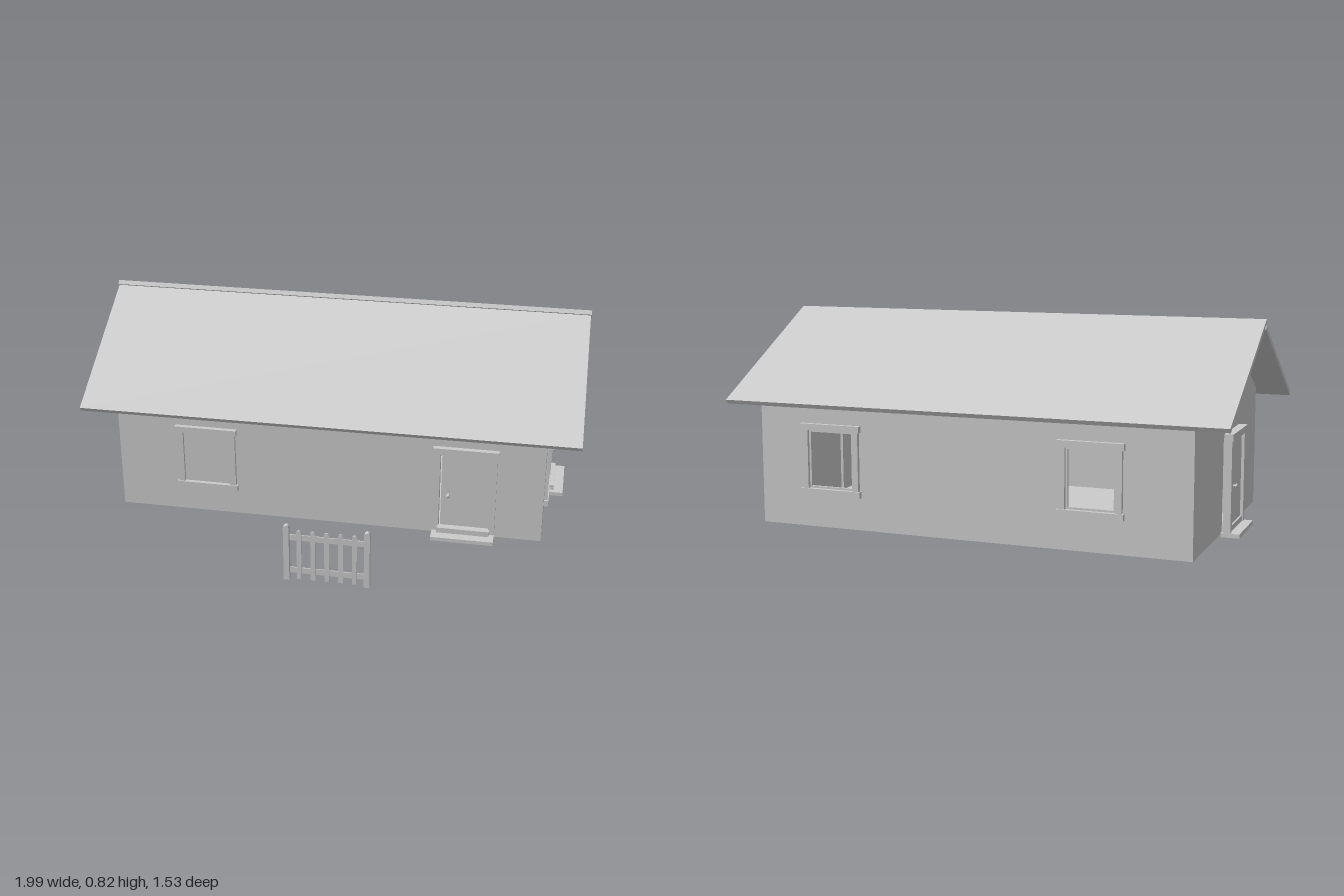
import * as THREE from 'three';

const mat = new THREE.MeshStandardMaterial({ color: 0xcccccc, flatShading: true, side: THREE.DoubleSide });
const X = 0.865, Z0 = -0.72, Z1 = 0.315, BASE = 0.01, EAVE = 0.497, PEAK = 0.782, PEAK_Z = -0.18;
const WALL = 0.014;

function add(parent, name, geometry, x = 0, y = 0, z = 0) {
  const mesh = new THREE.Mesh(geometry, mat);
  mesh.name = name;
  mesh.position.set(x, y, z);
  parent.add(mesh);
  return mesh;
}

// Box given by its limits
function slab(parent, name, x0, x1, y0, y1, z0, z1) {
  return add(parent, name, new THREE.BoxGeometry(x1 - x0, y1 - y0, z1 - z0),
    (x0 + x1) / 2, (y0 + y1) / 2, (z0 + z1) / 2);
}

const rect = (x0, x1, y0, y1) =>
  [[x0, y0], [x1, y0], [x1, y1], [x0, y1]].map(p => new THREE.Vector2(...p));

// Wall panel whose outer face lies on local z = 0, with openings cut through
function wall(side, outline, openings) {
  const shape = new THREE.Shape(outline);
  for (const o of openings) shape.holes.push(new THREE.Path(rect(...o)));
  const geometry = new THREE.ExtrudeGeometry(shape, { depth: WALL, bevelEnabled: false });
  add(side, 'wall', geometry, 0, 0, -WALL);
}

// Window surround with wider head and sill boards; a pane is optional
function windowFrame(side, c, w, y0, y1, pane = false) {
  const g = new THREE.Group();
  g.name = 'window';
  const h = w / 2, t = 0.025, d = 0.014;
  for (const s of [-1, 1]) {
    const a = c + s * h, b = c + s * (h + t);
    slab(g, 'windowJamb', Math.min(a, b), Math.max(a, b), y0, y1, -WALL, d);
  }
  slab(g, 'windowHead', c - h - t - 0.007, c + h + t + 0.007, y1, y1 + t, -WALL, d + 0.004);
  slab(g, 'windowSill', c - h - t - 0.007, c + h + t + 0.007, y0 - t, y0, -WALL, d + 0.004);
  // Slim inner sash
  const sash = new THREE.Shape(rect(c - h, c + h, y0, y1));
  sash.holes.push(new THREE.Path(rect(c - h + 0.008, c + h - 0.008, y0 + 0.008, y1 - 0.008)));
  add(g, 'windowSash', new THREE.ExtrudeGeometry(sash, { depth: 0.01, bevelEnabled: false }), 0, 0, -0.008);
  if (pane) slab(g, 'windowPane', c - h, c + h, y0, y1, -0.004, 0.002);
  side.add(g);
}

// Door leaf, surround, knob and two steps
function door(side, c, w, lift = 0, standOff = 0) {
  const g = new THREE.Group();
  g.name = 'door';
  const h = w / 2, t = 0.024, d = 0.016, y0 = 0.015 + lift, top = 0.37;
  const frame = new THREE.Group();
  frame.name = 'doorFrame';
  frame.position.z = standOff;
  for (const s of [-1, 1]) {
    const a = c + s * h, b = c + s * (h + t);
    slab(frame, 'doorJamb', Math.min(a, b), Math.max(a, b), y0, top, -WALL, d);
  }
  slab(frame, 'doorHead', c - h - t - 0.005, c + h + t + 0.005, top, top + 0.027, -WALL, d + 0.005);
  slab(frame, 'doorLeaf', c - h + 0.006, c + h, y0, top, -0.006, 0.004);
  const stem = add(frame, 'knobStem', new THREE.CylinderGeometry(0.004, 0.004, 0.018, 8), c - h + 0.036, 0.19, 0.012);
  stem.rotation.x = Math.PI / 2;
  const knob = add(frame, 'doorKnob', new THREE.SphereGeometry(0.009, 10, 8), c - h + 0.036, 0.19, 0.023);
  knob.scale.z = 0.7;
  g.add(frame);
  slab(g, 'lowerStep', c - h - 0.025, c + h + 0.025, lift, lift + 0.016, 0, 0.073);
  slab(g, 'upperStep', c - h - 0.005, c + h + 0.005, lift + 0.016, lift + 0.038, 0, 0.034);
  side.add(g);
}

function makeSide(house, name, x, z, turn) {
  const g = new THREE.Group();
  g.name = name;
  g.position.set(x, 0, z);
  g.rotation.y = turn;
  house.add(g);
  return g;
}

// Sloping roof slab between two points in the z-y plane
function roofSlope(parent, name, z0, y0, z1, y1) {
  const m = add(parent, name, new THREE.BoxGeometry(1.99, 0.018, Math.hypot(z1 - z0, y1 - y0)),
    0, (y0 + y1) / 2, (z0 + z1) / 2);
  m.rotation.set(-Math.atan2(y1 - y0, z1 - z0), 0.005, 0, 'YXZ');
}

// Fence board with a rounded top
function picket(parent, name, x, w, y0, y1, depth) {
  const r = w / 2;
  const s = new THREE.Shape();
  s.moveTo(-r, y0);
  s.lineTo(r, y0);
  s.lineTo(r, y1 - r);
  s.absarc(0, y1 - r, r, 0, Math.PI, false);
  s.closePath();
  add(parent, name, new THREE.ExtrudeGeometry(s, { depth, bevelEnabled: false, curveSegments: 6 }), x, 0, -depth / 2);
}

export function createModel() {
  const house = new THREE.Group();
  house.name = 'house';
  const open = (c, w, y0, y1) => [c - w / 2, c + w / 2, y0, y1];

  slab(house, 'floor', -X, X, BASE, BASE + 0.01, Z0, Z1);

  // Front wall
  const front = makeSide(house, 'frontWall', 0, Z1, 0);
  wall(front, rect(-X, X, BASE, EAVE), [open(-0.497, 0.19, 0.145, 0.37), open(0.555, 0.2, 0.025, 0.37)]);
  windowFrame(front, -0.497, 0.19, 0.145, 0.37, true);
  door(front, 0.555, 0.2, 0.01);

  // Back wall
  const back = makeSide(house, 'backWall', 0, Z0, Math.PI);
  const backWindows = [-0.56, 0.488];
  wall(back, rect(-X, X, BASE, EAVE), backWindows.map(c => open(c, 0.19, 0.162, 0.39)));
  for (const c of backWindows) windowFrame(back, c, 0.19, 0.162, 0.39);

  // Gable ends; the sign turns model z into the panel's own sideways axis
  const gable = s => [[Z0, BASE], [Z1, BASE], [Z1, EAVE], [PEAK_Z, PEAK], [Z0, EAVE]]
    .map(([z, y]) => new THREE.Vector2(s * z, y));

  const right = makeSide(house, 'rightGable', X, 0, Math.PI / 2);
  const sideWindows = [-0.093, 0.49];
  wall(right, gable(-1), [...sideWindows.map(c => open(c, 0.16, 0.133, 0.372)), open(0.205, 0.194, 0.02, 0.37)]);
  for (const c of sideWindows) windowFrame(right, c, 0.16, 0.133, 0.372);
  door(right, 0.205, 0.194);

  const left = makeSide(house, 'leftGable', -X, 0, -Math.PI / 2);
  wall(left, gable(1), [open(-0.17, 0.2, 0.02, 0.37), open(-0.17, 0.15, 0.48, 0.66)]);
  door(left, -0.17, 0.2, 0, 0.022);
  windowFrame(left, -0.17, 0.15, 0.48, 0.66);

  // Roof, the back slope lapping over the front one
  roofSlope(house, 'frontRoof', -0.18, 0.79, 0.388, 0.468);
  roofSlope(house, 'backRoof', -0.762, 0.487, -0.154, 0.812);

  // Free-standing gate
  const gate = new THREE.Group();
  gate.name = 'gate';
  gate.position.set(0.083, 0, 0.753);
  for (const s of [-1, 1]) picket(gate, 'gatePost', s * 0.154, 0.022, 0.006, 0.242, 0.02);
  for (let i = -2; i <= 2; i++) picket(gate, 'gatePicket', i * 0.053, 0.018, 0.01, 0.222, 0.006);
  for (const y of [0.045, 0.188]) slab(gate, 'gateRail', -0.145, 0.145, y - 0.012, y + 0.012, -0.006, -0.002);
  house.add(gate);

  return house;
}
